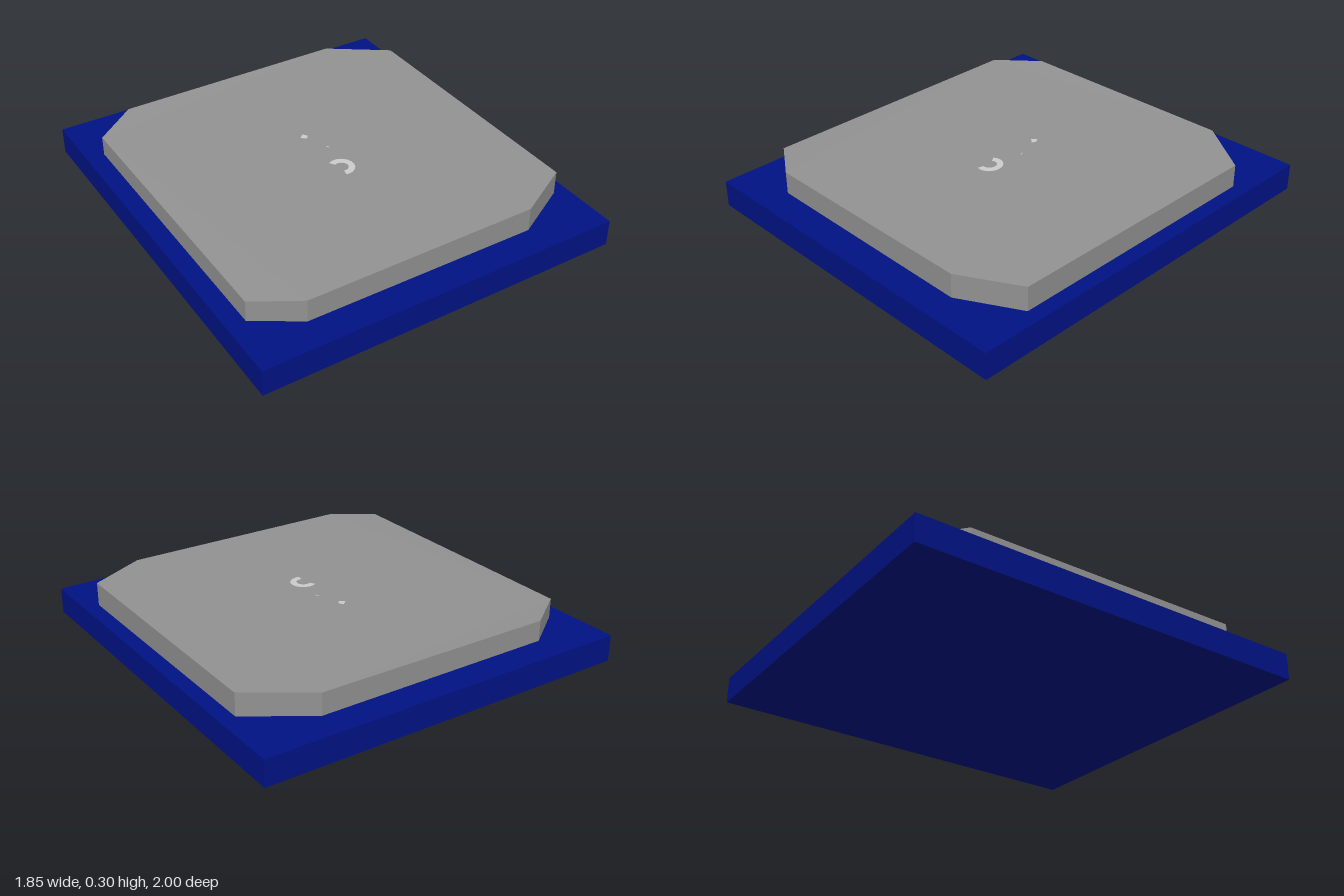
import * as THREE from 'three';

// Sloping surfaces: height as a function of x and z
const plateBottom = (x, z) => 0.036 - 0.035 * z;
const plateTop = (x, z) => 0.167 - 0.035 * z;
// The pad's left edge sags slightly
const padTop = (x, z) => 0.277 - 0.03 * z + 0.006 * x - (x < -0.7 ? 0.006 : 0);

// Prism over an outline of [x, z] points, closed by two sloping surfaces
function slab(name, outline, bottom, top, color) {
  const shape = new THREE.Shape(outline.map(([x, z]) => new THREE.Vector2(x, -z)));
  const geometry = new THREE.ExtrudeGeometry(shape, { depth: 1, bevelEnabled: false });
  geometry.rotateX(-Math.PI / 2);
  const p = geometry.attributes.position;
  for (let i = 0; i < p.count; i++) {
    const x = p.getX(i), z = p.getZ(i);
    p.setY(i, p.getY(i) > 0.5 ? top(x, z) : bottom(x, z));
  }
  geometry.computeVertexNormals();
  const mesh = new THREE.Mesh(geometry, new THREE.MeshStandardMaterial({ color, flatShading: true }));
  mesh.name = name;
  return mesh;
}

export function createModel() {
  const group = new THREE.Group();
  group.name = 'tiltedPad';

  // Blue base plate, tilted up toward the back
  group.add(slab('basePlate', [[-0.925, -1], [0.925, -1], [0.925, 1], [-0.925, 1]],
    plateBottom, plateTop, 0x001284));

  // Dark grey pad with uneven clipped corners
  const padOutline = [
    [-0.62, -0.85], [0.56, -0.85], [0.85, -0.65], [0.85, 0.70],
    [0.56, 0.855], [-0.62, 0.85], [-0.835, 0.715], [-0.835, -0.69],
  ];
  group.add(slab('pad', padOutline, (x, z) => plateTop(x, z) - 0.005, padTop, 0x929292));

  // Small, barely raised light details on the pad
  const low = (x, z) => padTop(x, z) - 0.01;
  const high = (x, z) => padTop(x, z) + 0.0015;
  const arc = (r) => Array.from({ length: 13 }, (_, i) => {
    const a = -2.1 + (i / 12) * 3.9;
    return [0.016 + r * Math.cos(a), 0.134 + r * Math.sin(a)];
  });
  group.add(slab('raisedArc', [...arc(0.065), ...arc(0.034).reverse()], low, high, 0xcccccc));
  group.add(slab('raisedChip', [[-0.02, -0.175], [0.004, -0.195], [0.018, -0.172], [0.004, -0.153]],
    low, high, 0xcccccc));
  group.add(slab('raisedSliver', [[0.046, -0.052], [0.056, -0.04], [0.054, -0.03]],
    low, high, 0xcccccc));

  return group;
}
